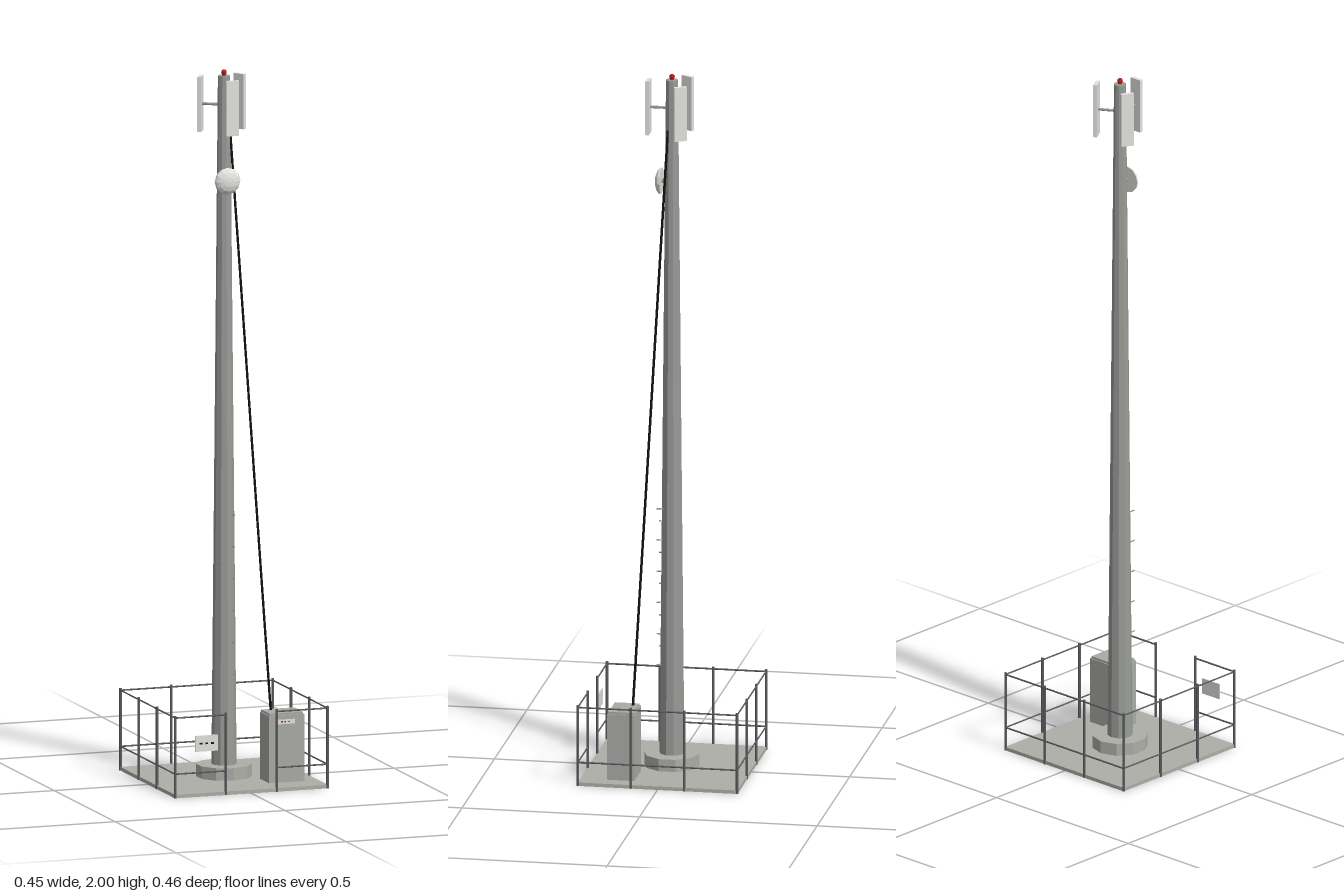
import * as THREE from 'three';

const mat = (name, color) => {
  const m = new THREE.MeshStandardMaterial({ color });
  m.name = name;
  return m;
};

export function createModel() {
  const concrete = mat('concrete', 0xaeaea8);
  const steel = mat('galvanised steel', 0x9a9c98);
  const dark = mat('fence steel', 0x5c5f61);
  const cabinetGrey = mat('cabinet grey', 0xa9aba6);
  const pale = mat('pale antenna plastic', 0xe2e3df);
  const black = mat('black cable', 0x121212);
  const red = mat('warning red', 0xc01818);
  for (const m of [concrete, steel, pale]) m.flatShading = true;

  const model = new THREE.Group();
  model.name = 'cellTower';

  const add = (parent, name, geometry, material, x = 0, y = 0, z = 0) => {
    const mesh = new THREE.Mesh(geometry, material);
    mesh.name = name;
    mesh.position.set(x, y, z);
    parent.add(mesh);
    return mesh;
  };
  const box = (parent, name, w, h, d, material, x, y, z) =>
    add(parent, name, new THREE.BoxGeometry(w, h, d), material, x, y, z);
  // Round bar between two points
  const bar = (parent, name, a, b, r, material, sides = 6) => {
    const from = new THREE.Vector3(...a), to = new THREE.Vector3(...b);
    const dir = to.clone().sub(from);
    const mesh = add(parent, name, new THREE.CylinderGeometry(r, r, dir.length(), sides), material);
    mesh.position.copy(from).add(to).multiplyScalar(0.5);
    mesh.quaternion.setFromUnitVectors(new THREE.Vector3(0, 1, 0), dir.normalize());
  };
  const group = (name) => {
    const g = new THREE.Group();
    g.name = name;
    model.add(g);
    return g;
  };

  // Ground pad, footing and tapered ten-sided pole
  box(model, 'groundPad', 0.45, 0.01, 0.45, concrete, 0, 0.005, 0);
  add(model, 'footing', new THREE.CylinderGeometry(0.078, 0.078, 0.035, 10), concrete, 0, 0.0275, 0);
  add(model, 'pole', new THREE.CylinderGeometry(0.017, 0.035, 1.938, 10), steel, 0, 1.014, 0);

  // Climbing pegs, alternating left and right on the front of the pole
  const pegs = group('climbingPegs');
  for (let i = 0; i < 11; i++) {
    const x = i % 2 ? -0.017 : 0.017, y = 0.3 + i * 0.045;
    bar(pegs, 'peg', [x, y, 0.015], [x, y, 0.04], 0.002, steel);
  }

  // Fence with an entrance gap in the middle of the front
  const fence = group('fence');
  const E = 0.224, P = 0.075;
  for (const x of [-E, -P, P, E]) {
    for (const z of [-E, -P, P, E]) {
      if (Math.abs(x) === E || Math.abs(z) === E) {
        bar(fence, 'fencePost', [x, 0, z], [x, 0.232, z], 0.0037, dark);
      }
    }
  }
  for (const y of [0.068, 0.226]) {
    bar(fence, 'backRail', [-E, y, -E], [E, y, -E], 0.0024, dark);
    for (const s of [-1, 1]) {
      bar(fence, 'sideRail', [s * E, y, -E], [s * E, y, E], 0.0024, dark);
      bar(fence, 'frontRail', [s * P, y, E], [s * E, y, E], 0.0024, dark);
    }
  }

  // Warning sign on the front fence
  const sign = group('warningSign');
  sign.position.set(-0.133, 0.15, 0.2265);
  box(sign, 'signPlate', 0.066, 0.045, 0.003, pale, 0, 0, 0);
  for (const x of [-0.017, 0, 0.017]) {
    box(sign, 'signMark', 0.008, 0.005, 0.0006, black, x, 0, 0.0017);
  }

  // Equipment cabinet with a slightly inset lid
  const cabinet = group('equipmentCabinet');
  cabinet.position.set(0.131, 0, 0.111);
  box(cabinet, 'cabinetBody', 0.104, 0.189, 0.076, cabinetGrey, 0, 0.1045, 0);
  box(cabinet, 'cabinetLid', 0.098, 0.006, 0.07, cabinetGrey, 0, 0.202, 0);
  box(cabinet, 'cabinetDoor', 0.092, 0.165, 0.001, cabinetGrey, 0, 0.103, 0.0385);
  box(cabinet, 'labelPlate', 0.058, 0.013, 0.001, pale, -0.005, 0.181, 0.0394);
  for (const x of [-0.015, -0.005, 0.005]) {
    box(cabinet, 'labelMark', 0.005, 0.004, 0.0006, red, x, 0.181, 0.0401);
  }

  // Feeder cable from the pole top down to the cabinet
  bar(model, 'feederCable', [0.014, 1.84, 0.009], [0.105, 0.2, 0.091], 0.0035, black, 8);

  // Microwave dish: shallow faceted dome facing forward with a flat back
  const dish = group('microwaveDish');
  dish.position.set(0, 1.69, 0.029);
  const dome = add(dish, 'dishDome',
    new THREE.SphereGeometry(0.038, 12, 4, 0, Math.PI * 2, 0, Math.PI / 2), pale);
  dome.rotation.x = Math.PI / 2;
  dome.scale.y = 0.48;
  add(dish, 'dishBack', new THREE.CircleGeometry(0.038, 12), pale).rotation.y = Math.PI;
  bar(dish, 'dishMount', [0, 0, -0.02], [0, 0, 0.002], 0.005, steel, 8);

  // Three panel antennas on radial arms
  for (let i = 0; i < 3; i++) {
    const sector = group('antennaSector');
    sector.rotation.y = (i * Math.PI * 2) / 3;
    bar(sector, 'antennaArm', [0, 1.902, 0], [0, 1.902, 0.063], 0.004, steel);
    box(sector, 'antennaPanel', 0.036, 0.155, 0.011, pale, 0, 1.902, 0.067);
  }

  // Red beacon on the pole top
  add(model, 'beaconBase', new THREE.CylinderGeometry(0.006, 0.006, 0.006, 10), dark, 0, 1.986, 0);
  add(model, 'beacon', new THREE.SphereGeometry(0.008, 10, 6), red, 0, 1.992, 0);

  return model;
}
